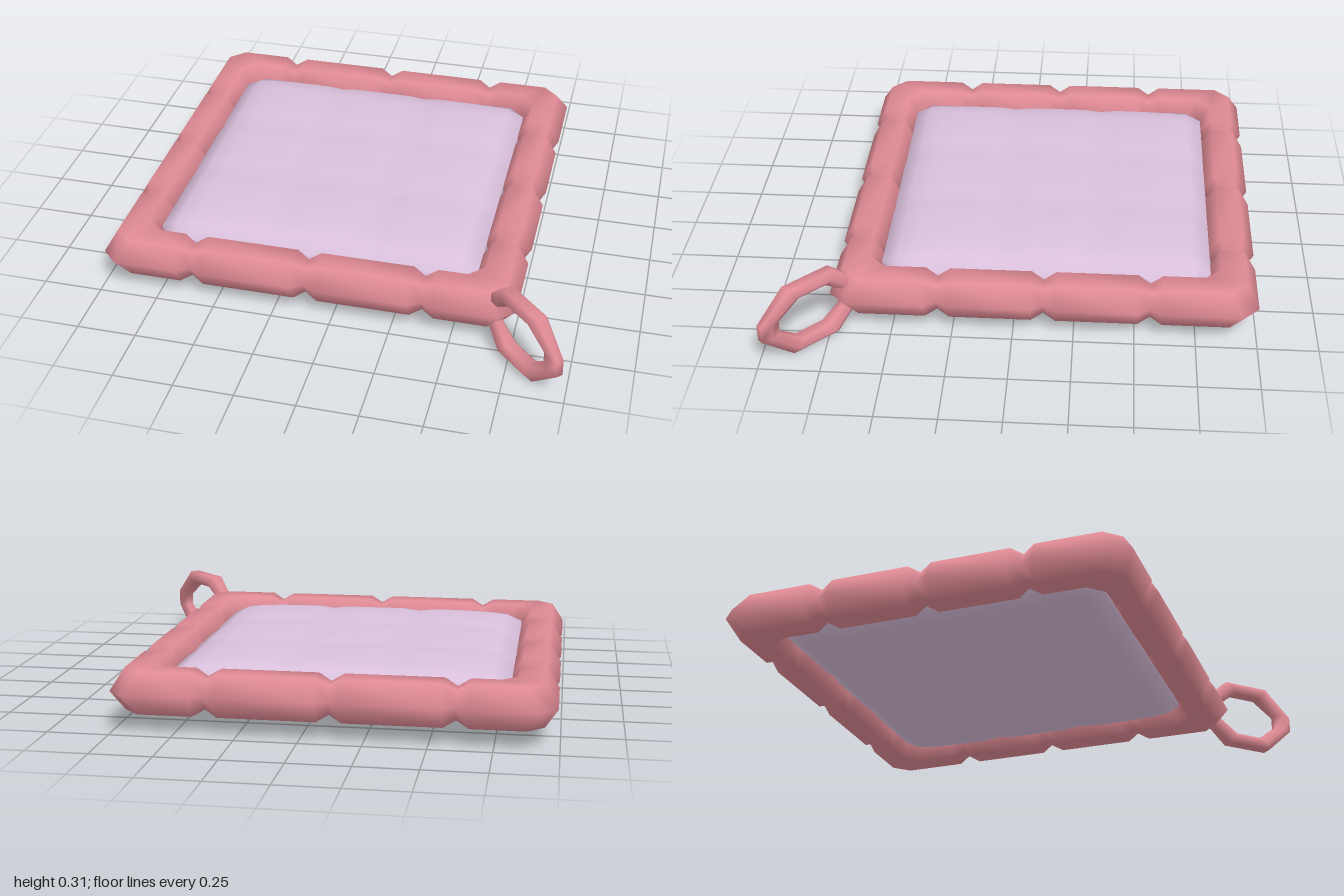
import * as THREE from 'three';
import { mergeVertices } from 'three/addons/utils/BufferGeometryUtils.js';

const SIDES = 6;

// Smooth surface through a closed loop of cross-sections (each an array of SIDES points)
function closedLoft(sections) {
  const n = sections.length;
  const index = [];
  for (let i = 0; i < n; i++) {
    for (let j = 0; j < SIDES; j++) {
      const i2 = (i + 1) % n, j2 = (j + 1) % SIDES;
      const a = i * SIDES + j, b = i2 * SIDES + j;
      const c = i2 * SIDES + j2, d = i * SIDES + j2;
      index.push(a, b, d, b, c, d);
    }
  }
  const geo = new THREE.BufferGeometry().setFromPoints(sections.flat());
  geo.setIndex(index);
  geo.computeVertexNormals();
  return geo;
}

// Square hexagonal tube with bevelled corners, pinched three times on each side
function frameGeometry() {
  const half = 0.775, radius = 0.1, bevel = 0.065;
  const up = new THREE.Vector3(0, 1, 0);
  const sections = [];
  for (let k = 0; k < 4; k++) {
    const station = (place, scale) => {
      const pts = [];
      for (let j = 0; j < SIDES; j++) {
        const a = (j / SIDES) * Math.PI * 2;
        const x = half + Math.cos(a) * radius * scale;
        const p = new THREE.Vector3(x, Math.sin(a) * radius * scale, place(x));
        pts.push(p.applyAxisAngle(up, (k * Math.PI) / 2));
      }
      sections.push(pts);
    };
    const pinch = k % 2 === 0 ? 0.435 : 0.49;
    station((x) => x - bevel, 1);
    for (const s of [pinch, 0, -pinch]) {
      station(() => s + 0.05, 1);
      station(() => s, 0.68);
      station(() => s - 0.05, 1);
    }
    station((x) => bevel - x, 1);
  }
  return closedLoft(sections);
}

// Eight-cornered hanging loop, wide at top and bottom, narrow at its ends
function loopGeometry() {
  const along = new THREE.Vector3(1, 0, 1).normalize();
  const across = new THREE.Vector3(-1, 0, 1).normalize();
  // outer d, outer y, inner d, inner y, half width
  const end = [0.245, 0.035, 0.16, 0.028, 0.028];
  const flat = [0.11, 0.155, 0.065, 0.102, 0.046];
  const corners = [
    [end, 1, 1], [flat, 1, 1], [flat, -1, 1], [end, -1, 1],
    [end, -1, -1], [flat, -1, -1], [flat, 1, -1], [end, 1, -1],
  ];
  const sections = corners.map(([[od, oy, id, iy, w], sd, sy]) => {
    const pts = [];
    for (let j = 0; j < SIDES; j++) {
      const a = ((j + 0.5) / SIDES) * Math.PI * 2;
      const t = 0.5 + (0.5 * Math.cos(a)) / Math.cos(Math.PI / 6);
      const p = along.clone().multiplyScalar(sd * (id + (od - id) * t));
      p.y = sy * (iy + (oy - iy) * t);
      pts.push(p.addScaledVector(across, Math.sin(a) * w));
    }
    return pts;
  });
  return closedLoft(sections);
}

// Cushion of three by three soft squares
function padGeometry() {
  const half = 0.685;
  let geo = new THREE.BoxGeometry(2, 2, 2, 20, 1, 20);
  geo.deleteAttribute('normal');
  geo.deleteAttribute('uv');
  geo = mergeVertices(geo, 1e-4);
  const crease = (u) => 0.009 * Math.exp(-(((Math.abs(u) - 0.3) / 0.06) ** 2));
  const fall = (u) => Math.max(0, 1 - u ** 6);
  const pos = geo.attributes.position;
  for (let i = 0; i < pos.count; i++) {
    const u = pos.getX(i), v = pos.getZ(i);
    const h = 0.03 + 0.062 * Math.sqrt(fall(u) * fall(v)) - Math.max(crease(u), crease(v));
    const cut = Math.max(0, Math.abs(u) + Math.abs(v) - 1.9) / 2;
    pos.setXYZ(i, (u - Math.sign(u) * cut) * half, Math.sign(pos.getY(i)) * h,
      (v - Math.sign(v) * cut) * half);
  }
  geo.computeVertexNormals();
  return geo;
}

export function createModel() {
  const pink = new THREE.MeshStandardMaterial({ color: 0xdf8a94 });
  pink.name = 'rose pink';
  const lilac = new THREE.MeshStandardMaterial({ color: 0xdac0dc });
  lilac.name = 'pale lilac';

  const group = new THREE.Group();
  group.name = 'potHolder';
  const add = (name, geo, mat, x, y, z) => {
    const mesh = new THREE.Mesh(geo, mat);
    mesh.name = name;
    mesh.position.set(x, y, z);
    group.add(mesh);
  };
  add('quiltedPad', padGeometry(), lilac, -0.115, 0.16, -0.125);
  add('paddedBorder', frameGeometry(), pink, -0.115, 0.16, -0.125);
  add('hangingLoop', loopGeometry(), pink, 0.8, 0.155, 0.81);
  return group;
}
